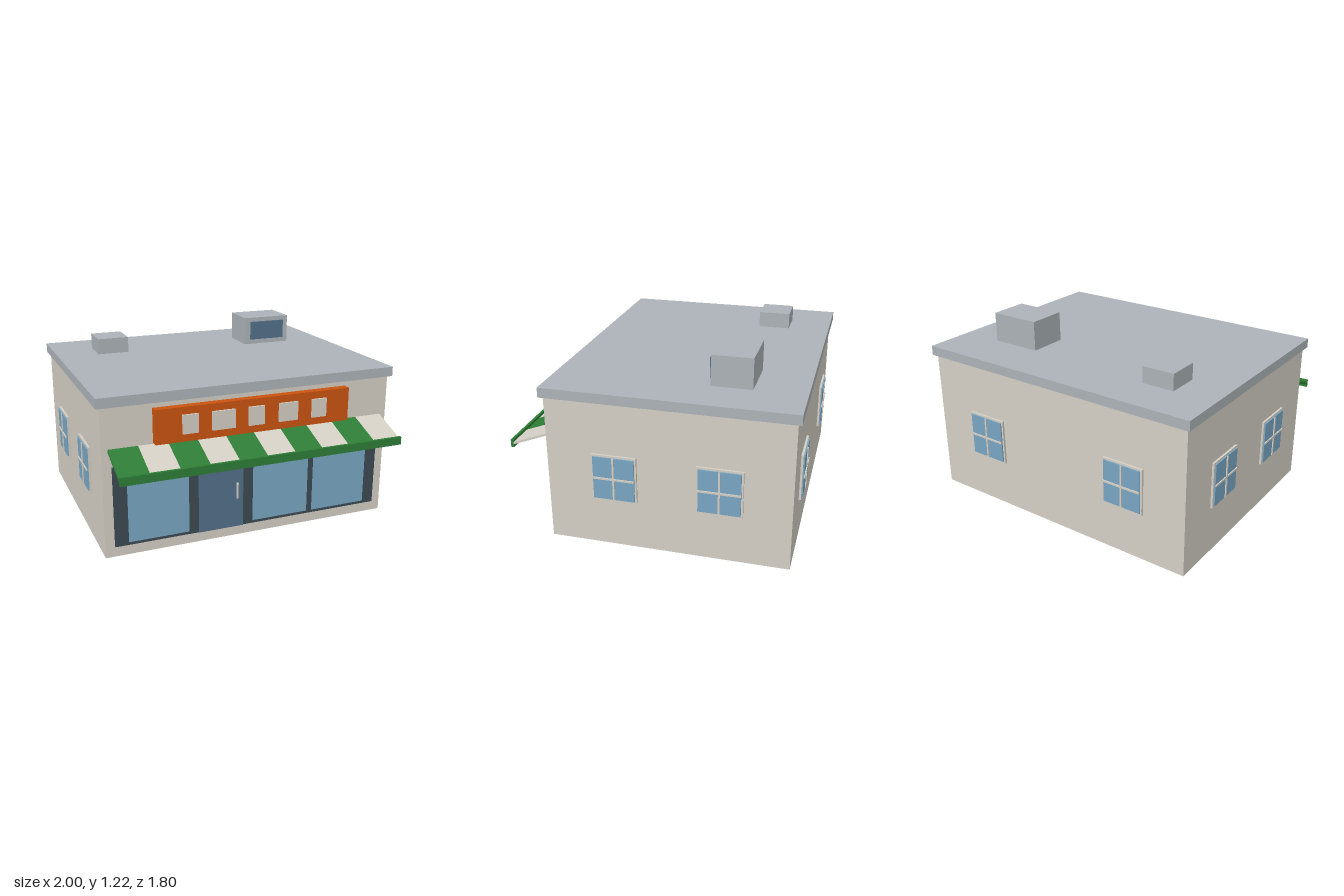
import * as THREE from 'three';

const flat = (name, color) => {
  const m = new THREE.MeshStandardMaterial({ color });
  m.name = name;
  return m;
};

export function createModel() {
  const cream = flat('cream wall', 0xd4cfc5);
  const grey = flat('roof grey', 0xacb3b8);
  const orange = flat('sign orange', 0xcb5410);
  const green = flat('awning green', 0x2e7d36);
  const dark = flat('dark frame', 0x3b4952);
  const glass = flat('window glass', 0x78a6c2);
  const slate = flat('door slate', 0x547089);

  const shop = new THREE.Group();
  shop.name = 'shop';

  // Box given by its min and max on each axis
  const box = (name, mat, x0, x1, y0, y1, z0, z1, parent = shop) => {
    const mesh = new THREE.Mesh(new THREE.BoxGeometry(x1 - x0, y1 - y0, z1 - z0), mat);
    mesh.position.set((x0 + x1) / 2, (y0 + y1) / 2, (z0 + z1) / 2);
    mesh.name = name;
    parent.add(mesh);
    return mesh;
  };

  // Building shell and rooftop units
  box('walls', cream, -0.97, 0.97, 0, 0.957, -0.875, 0.637);
  box('roof', grey, -0.993, 0.993, 0.957, 1.02, -0.898, 0.66);
  box('smallRoofUnit', grey, -0.715, -0.5, 1.02, 1.127, -0.618, -0.405);
  box('largeRoofUnit', grey, 0.37, 0.71, 1.02, 1.215, -0.575, -0.32);
  box('roofUnitGrille', slate, 0.41, 0.67, 1.055, 1.185, -0.32, -0.306);

  // Shopfront
  box('shopfrontFrame', dark, -0.91, 0.905, 0.07, 0.585, 0.637, 0.652);
  for (const [x0, x1] of [[-0.825, -0.435], [0, 0.39], [0.43, 0.822]])
    box('shopWindow', glass, x0, x1, 0.09, 0.565, 0.652, 0.657);
  box('door', slate, -0.37, -0.07, 0.07, 0.565, 0.652, 0.658);
  box('doorHandle', cream, -0.118, -0.108, 0.267, 0.372, 0.658, 0.672);

  // Sign board with plain raised blocks
  box('signBoard', orange, -0.652, 0.648, 0.705, 0.922, 0.637, 0.69);
  for (const [x0, x1] of [[-0.485, -0.385], [-0.295, -0.145], [-0.055, 0.05], [0.15, 0.28], [0.38, 0.482]])
    box('signBlock', cream, x0, x1, 0.755, 0.875, 0.69, 0.703);

  // Sloping striped awning and its front valance
  const awning = new THREE.Group();
  awning.name = 'awning';
  shop.add(awning);
  const left = -0.93, width = 1.857, count = 10, step = width / count;
  const slope = new THREE.Shape();
  slope.moveTo(0.637, 0.683);
  slope.lineTo(0.89, 0.586);
  slope.lineTo(0.89, 0.601);
  slope.lineTo(0.637, 0.698);
  slope.closePath();
  for (let i = 0; i < count; i++) {
    const geo = new THREE.ExtrudeGeometry(slope, { depth: step, bevelEnabled: false });
    geo.rotateY(-Math.PI / 2); // profile now lies in z and y, extruded toward -x
    const stripe = new THREE.Mesh(geo, i % 2 ? cream : green);
    stripe.name = 'awningStripe';
    stripe.position.x = left + (i + 1) * step;
    awning.add(stripe);
  }
  box('awningValance', green, left, left + width, 0.568, 0.62, 0.882, 0.9, awning);

  // Four-pane window facing +z, resting on its wall at z = 0
  const addWindow = (x, z, turn) => {
    const w = new THREE.Group();
    w.name = 'window';
    box('windowFrame', cream, -0.142, 0.142, 0.315, 0.62, 0, 0.014, w);
    box('windowGlass', glass, -0.13, 0.13, 0.328, 0.608, 0.014, 0.022, w);
    box('verticalBar', cream, -0.006, 0.006, 0.328, 0.608, 0.022, 0.029, w);
    box('horizontalBar', cream, -0.13, 0.13, 0.462, 0.474, 0.022, 0.029, w);
    w.position.set(x, 0, z);
    w.rotation.y = turn;
    shop.add(w);
  };
  for (const side of [-1, 1]) {
    for (const z of [0.207, -0.443]) addWindow(side * 0.97, z, side * Math.PI / 2);
    addWindow(side * 0.543, -0.875, Math.PI);
  }

  return shop;
}
